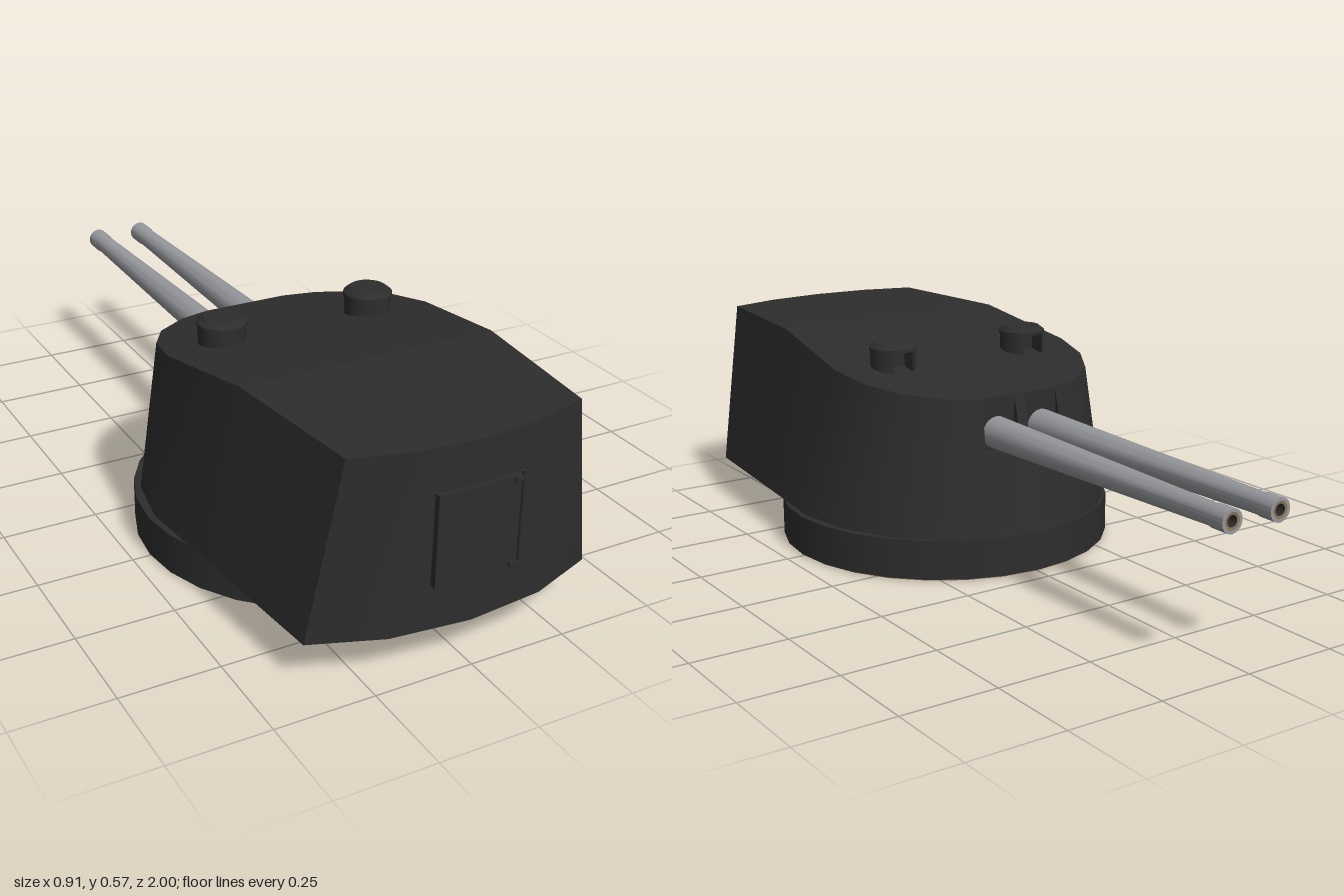
import * as THREE from 'three';
import { toCreasedNormals } from 'three/addons/utils/BufferGeometryUtils.js';

const armour = new THREE.MeshStandardMaterial({ color: 0x2d2d2d });
armour.name = 'dark armour';
const steel = new THREE.MeshStandardMaterial({ color: 0x95979b });
steel.name = 'barrel steel';
const brass = new THREE.MeshStandardMaterial({ color: 0x8a7358 });
brass.name = 'dull brass';

function add(parent, name, geometry, material, x = 0, y = 0, z = 0) {
  const mesh = new THREE.Mesh(geometry, material);
  mesh.name = name;
  mesh.position.set(x, y, z);
  parent.add(mesh);
  return mesh;
}

// Faces are lists of corners, counter-clockwise from outside
function facesGeometry(faces, crease) {
  const pos = [];
  for (const f of faces)
    for (let i = 1; i < f.length - 1; i++)
      for (const p of [f[0], f[i], f[i + 1]]) pos.push(...p);
  const g = new THREE.BufferGeometry();
  g.setAttribute('position', new THREE.Float32BufferAttribute(pos, 3));
  g.computeVertexNormals();
  return crease ? toCreasedNormals(g, crease) : g;
}

// Half outlines [x, z], gun end to rear
const FLOOR = 0.11;
const floorHalf = [[0, -0.195], [0.13, -0.18], [0.24, -0.13], [0.34, -0.035], [0.41, 0.1],
  [0.437, 0.25], [0.41, 0.53], [0.375, 0.9], [0.2, 0.965], [0, 0.986]];
const roofHalf = [[0, -0.113], [0.115, -0.113], [0.2, -0.085], [0.29, -0.015], [0.345, 0.08],
  [0.368, 0.2], [0.34, 0.53], [0.3, 0.932], [0.16, 0.972], [0, 0.986]];
const roofY = (z) => 0.562 - Math.max(0, 0.53 - z) * 0.157;

const fullLoop = (half, height) => [...half, ...half.slice(1, -1).reverse().map(([x, z]) => [-x, z])]
  .map(([x, z]) => [x, height(z), z]);

function addHouse(group) {
  const low = fullLoop(floorHalf, () => FLOOR);
  const top = fullLoop(roofHalf, roofY);
  const mid = low.map((p, i) => p.map((v, k) => v + (top[i][k] - v) * 0.6));
  const n = low.length, last = n - 1;

  // Sloping walls, leaving the gun opening free
  const walls = [];
  for (let i = 0; i < n; i++) {
    const j = (i + 1) % n;
    walls.push([low[j], low[i], mid[i], mid[j]]);
    if (i !== 0 && i !== last) walls.push([mid[j], mid[i], top[i], top[j]]);
  }
  add(group, 'houseWalls', facesGeometry(walls, 0.6), armour);

  // Shallow recess around the guns
  const inner = (i) => [mid[i][0], mid[i][1], -0.113];
  add(group, 'gunRecess', facesGeometry([
    [inner(1), inner(last), top[last], top[1]],
    [mid[1], mid[0], inner(0), inner(1)],
    [mid[0], mid[last], inner(last), inner(0)],
    [mid[1], inner(1), top[1]],
    [inner(last), mid[last], top[last]],
  ]), armour);

  // Roof and underside as strips across the width
  const roof = [], under = [];
  for (let i = 0; i < n / 2; i++) {
    const a = (n - i) % n, b = n - i - 1;
    roof.push([top[i], top[a], top[b], top[i + 1]]);
    under.push([low[i + 1], low[b], low[a], low[i]]);
  }
  add(group, 'houseRoof', facesGeometry(roof), armour);
  add(group, 'houseUnderside', facesGeometry(under), armour);

  // Rib between the guns
  const ribShape = new THREE.Shape();
  ribShape.moveTo(0.147, 0.32);
  ribShape.lineTo(0.113, 0.46);
  ribShape.lineTo(0.1, 0.32);
  const rib = new THREE.ExtrudeGeometry(ribShape, { depth: 0.03, bevelEnabled: false });
  rib.rotateY(Math.PI / 2);
  add(group, 'gunRib', rib, armour, -0.015);
}

function addGun(group, x) {
  const gun = new THREE.Group();
  gun.name = 'gun';
  gun.position.set(x, 0.367, 0);
  group.add(gun);
  const turned = (pts) => new THREE.LatheGeometry(pts.map(([r, d]) => new THREE.Vector2(r, d)), 20)
    .rotateX(-Math.PI / 2);
  const barrel = toCreasedNormals(turned([[0.043, 0.08], [0.042, 0.14], [0.036, 0.45], [0.0265, 0.94],
    [0.029, 0.955], [0.029, 1], [0.021, 1]]), 0.6);
  add(gun, 'barrel', barrel, steel);
  add(gun, 'muzzleRing', turned([[0.021, 1], [0.014, 0.999]]), brass);
  add(gun, 'bore', turned([[0.014, 0.999], [0.014, 0.93], [0, 0.93]]), armour);
}

function addPeriscope(group, x) {
  const scope = new THREE.Group();
  scope.name = 'periscope';
  scope.position.set(x, 0, 0.172);
  group.add(scope);
  // Round body with a viewing notch facing the guns
  const shape = new THREE.Shape();
  shape.absarc(0, 0, 0.06, Math.PI * 0.66, Math.PI * 2.34, false);
  shape.lineTo(0.03, 0.01);
  shape.lineTo(-0.03, 0.01);
  const body = new THREE.ExtrudeGeometry(shape, { depth: 0.09, bevelEnabled: false, curveSegments: 16 });
  body.rotateX(-Math.PI / 2);
  add(scope, 'periscopeBody', toCreasedNormals(body, 0.6), armour, 0, 0.465, 0);
  const cap = new THREE.CylinderGeometry(0.048, 0.063, 0.012, 24);
  add(scope, 'periscopeCap', cap, armour, 0, 0.566, 0);
  add(scope, 'periscopeRim', new THREE.CylinderGeometry(0.063, 0.063, 0.008, 24), armour, 0, 0.556, 0);
}

export function createModel() {
  const group = new THREE.Group();
  group.name = 'gunTurret';

  // Rotating base
  add(group, 'baseRing', new THREE.CylinderGeometry(0.454, 0.454, 0.106, 28), armour, 0, 0.057, 0.25);
  add(group, 'baseTrim', new THREE.CylinderGeometry(0.448, 0.448, 0.004, 28, 1, true), brass, 0, 0.002, 0.25);
  add(group, 'baseBottom', new THREE.CircleGeometry(0.448, 28).rotateX(Math.PI / 2), armour, 0, 0, 0.25);

  addHouse(group);
  for (const side of [-1, 1]) {
    addGun(group, side * 0.07);
    addPeriscope(group, side * 0.208);
  }

  // Rear door with a hinge rod and its brackets
  add(group, 'rearDoor', new THREE.BoxGeometry(0.21, 0.228, 0.024), armour, 0, 0.339, 0.98);
  add(group, 'hingeRod', new THREE.CylinderGeometry(0.005, 0.005, 0.235, 10), armour, 0.112, 0.342, 0.993);
  add(group, 'hingeKnob', new THREE.CylinderGeometry(0.007, 0.007, 0.012, 10), armour, 0.112, 0.456, 0.993);
  for (const y of [0.232, 0.446])
    add(group, 'hingeBracket', new THREE.BoxGeometry(0.032, 0.012, 0.024), armour, 0.102, y, 0.986);

  return group;
}
